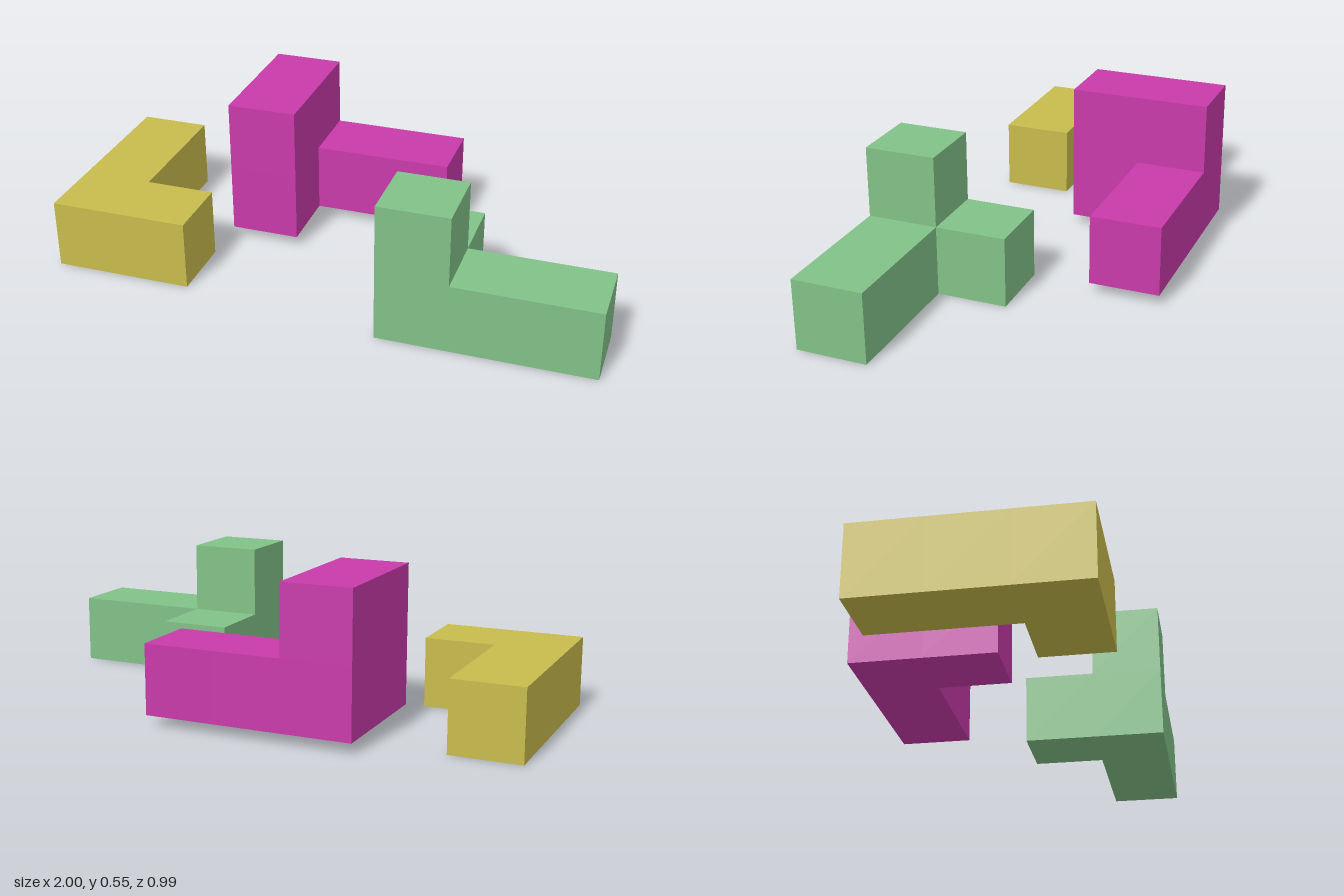
import * as THREE from 'three';
import { mergeGeometries } from 'three/addons/utils/BufferGeometryUtils.js';

const UNIT = 0.254; // edge of one cube cell

// Outward direction and the rotation that turns a +z plane towards it
const H = Math.PI / 2;
const SIDES = [
  { dir: [0, 0, 1], rx: 0, ry: 0 },
  { dir: [0, 0, -1], rx: 0, ry: Math.PI },
  { dir: [1, 0, 0], rx: 0, ry: H },
  { dir: [-1, 0, 0], rx: 0, ry: -H },
  { dir: [0, 1, 0], rx: -H, ry: 0 },
  { dir: [0, -1, 0], rx: H, ry: 0 },
];

// Solid puzzle piece from cube cells, keeping only the outer faces
function makePiece(name, material, origin, cells) {
  const filled = new Set(cells.map(String));
  const faces = [];
  for (const cell of cells) {
    for (const { dir, rx, ry } of SIDES) {
      if (filled.has(String(cell.map((c, i) => c + dir[i])))) continue;
      const centre = cell.map((c, i) => (c + 0.5 + dir[i] / 2) * UNIT);
      faces.push(new THREE.PlaneGeometry(UNIT, UNIT).rotateX(rx).rotateY(ry).translate(...centre));
    }
  }
  const mesh = new THREE.Mesh(mergeGeometries(faces), material);
  mesh.name = name;
  mesh.position.set(...origin);
  return mesh;
}

function makeMaterial(name, color) {
  const material = new THREE.MeshStandardMaterial({ color });
  material.name = name;
  return material;
}

export function createModel() {
  const group = new THREE.Group();
  group.name = 'puzzleBlocks';

  group.add(
    // Flat L lying on the ground
    makePiece('flatBlock', makeMaterial('yellow', 0xc8bc4c), [-1, 0, -0.36],
      [[0, 0, 0], [0, 0, 1], [0, 0, 2], [1, 0, 2]]),
    // Upright square slab with a long arm, slightly raised
    makePiece('slabBlock', makeMaterial('magenta', 0xc93aaa), [-0.47, 0.039, -0.495],
      [[0, 0, 0], [0, 1, 0], [0, 0, 1], [0, 1, 1], [1, 0, 0], [2, 0, 0]]),
    // Corner tower with a long arm and a short back arm
    makePiece('towerBlock', makeMaterial('green', 0x82c187), [0.238, 0.001, -0.013],
      [[0, 0, 0], [0, 0, 1], [0, 1, 1], [1, 0, 1], [2, 0, 1]]),
  );
  return group;
}
